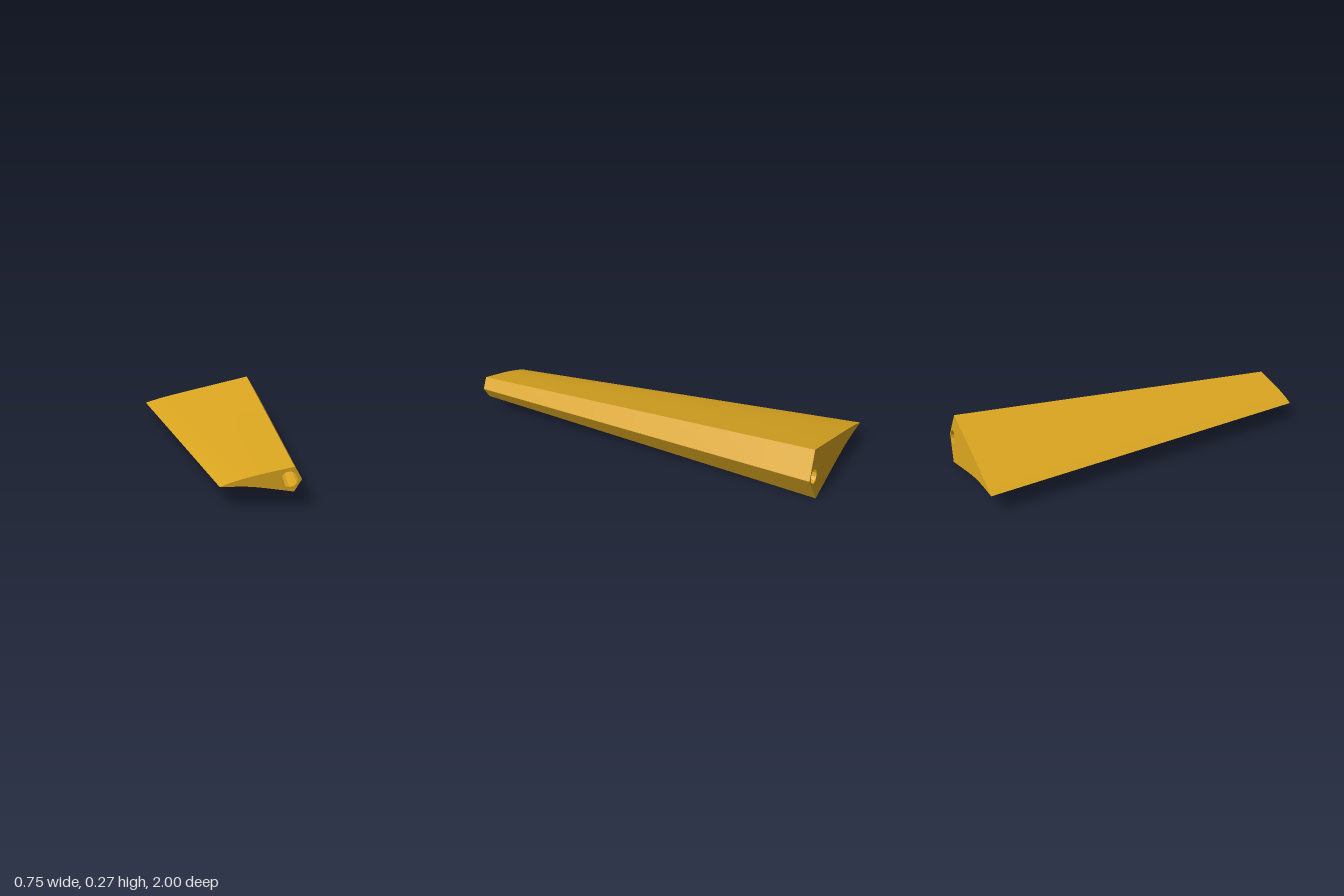
import * as THREE from 'three';

const TILT = 0.09;          // lean of both end faces
const DEPTH = 0.18;         // depth of the peg sockets
const V = (x, y) => new THREE.Vector2(x, y);

// Points on the two leaning end planes
const frontPlane = (p) => new THREE.Vector3(p.x, p.y, 1 - TILT * (0.197 - p.y));
const backPlane = (p) => new THREE.Vector3(p.x, p.y, -1 + TILT * p.y);

// Ruled surface between two matching rows of points
function loft(front, back, steps, flat = false) {
  const pos = [], idx = [], n = front.length;
  for (let j = 0; j <= steps; j++) {
    for (let i = 0; i < n; i++) pos.push(...front[i].clone().lerp(back[i], j / steps).toArray());
  }
  for (let j = 0; j < steps; j++) {
    for (let i = 0; i < n - 1; i++) {
      const a = j * n + i, b = a + 1, d = a + n, c = d + 1;
      idx.push(a, d, b, d, c, b);
    }
  }
  let g = new THREE.BufferGeometry();
  g.setAttribute('position', new THREE.Float32BufferAttribute(pos, 3));
  g.setIndex(idx);
  if (flat) g = g.toNonIndexed();
  g.computeVertexNormals();
  return g;
}

// Flat face laid on a plane, with an optional hole
function cap(outline, hole, place, flip) {
  const shape = new THREE.Shape(outline);
  if (hole) shape.holes.push(new THREE.Path(hole));
  const g = new THREE.ShapeGeometry(shape);
  const p = g.attributes.position;
  for (let i = 0; i < p.count; i++) {
    const v = place(V(p.getX(i), p.getY(i)));
    p.setXYZ(i, v.x, v.y, v.z);
  }
  if (flip) g.index.array.reverse();
  g.computeVertexNormals();
  return g;
}

// Smooth row of points through a few profile points
function row(points) {
  return new THREE.SplineCurve(points.map(([x, y]) => V(x, y))).getPoints(16);
}

export function createModel() {
  const group = new THREE.Group();
  group.name = 'taperedBlade';
  const material = new THREE.MeshStandardMaterial({ color: 0xdaa520 });
  const add = (name, geometry) => {
    const mesh = new THREE.Mesh(geometry, material);
    mesh.name = name;
    group.add(mesh);
  };

  // End profiles, running from the thin edge to the nose corners
  const nose = V(0.373, 0.138);
  const tip = {
    top: row([[0.002, 0.104], [0.06, 0.127], [0.165, 0.158], [0.338, 0.197]]),
    bottom: row([[0.002, 0.104], [0.085, 0.105], [0.17, 0.101], [0.338, 0.078]]),
  };
  const root = {
    top: row([[-0.373, 0.099], [-0.25, 0.137], [-0.04, 0.19], [0.295, 0.272]]),
    bottom: row([[-0.373, 0.099], [-0.2, 0.09], [-0.04, 0.069], [0.295, 0.002]]),
  };
  for (const s of [tip, root]) s.top.reverse();

  // Long skins, each with its own normals so the ridges stay sharp
  const skin = (name, f, b) => add(name, loft(f.map(frontPlane), b.map(backPlane), 8));
  skin('undersideSkin', tip.bottom, root.bottom);
  skin('lowerNose', [tip.bottom.at(-1), nose], [root.bottom.at(-1), nose]);
  skin('upperNose', [nose, tip.top[0]], [nose, root.top[0]]);
  skin('upperSkin', tip.top, root.top);

  // End faces with blind peg sockets square to them
  const ends = [
    { name: 'front', s: tip, place: frontPlane, dir: -1 },
    { name: 'back', s: root, place: backPlane, dir: 1 },
  ];
  for (const { name, s, place, dir } of ends) {
    const outline = [...s.bottom, nose, ...s.top.slice(0, -1)];
    const ring = [];
    for (let i = 0; i < 12; i++) {
      const a = -i * Math.PI / 6;
      ring.push(V(0.317 + 0.038 * Math.cos(a), 0.138 + 0.038 * Math.sin(a)));
    }
    const inward = new THREE.Vector3(0, -TILT * dir, dir).setLength(DEPTH);
    const placeFloor = (p) => place(p).add(inward);
    const loop = [...ring, ring[0]];
    const rim = loop.map(place), floor = loop.map(placeFloor);
    add(name + 'EndFace', cap(outline, ring, place, dir > 0));
    add(name + 'SocketWall', dir < 0 ? loft(rim, floor, 1, true) : loft(floor, rim, 1, true));
    add(name + 'SocketFloor', cap(ring, null, placeFloor, dir > 0));
  }
  return group;
}
